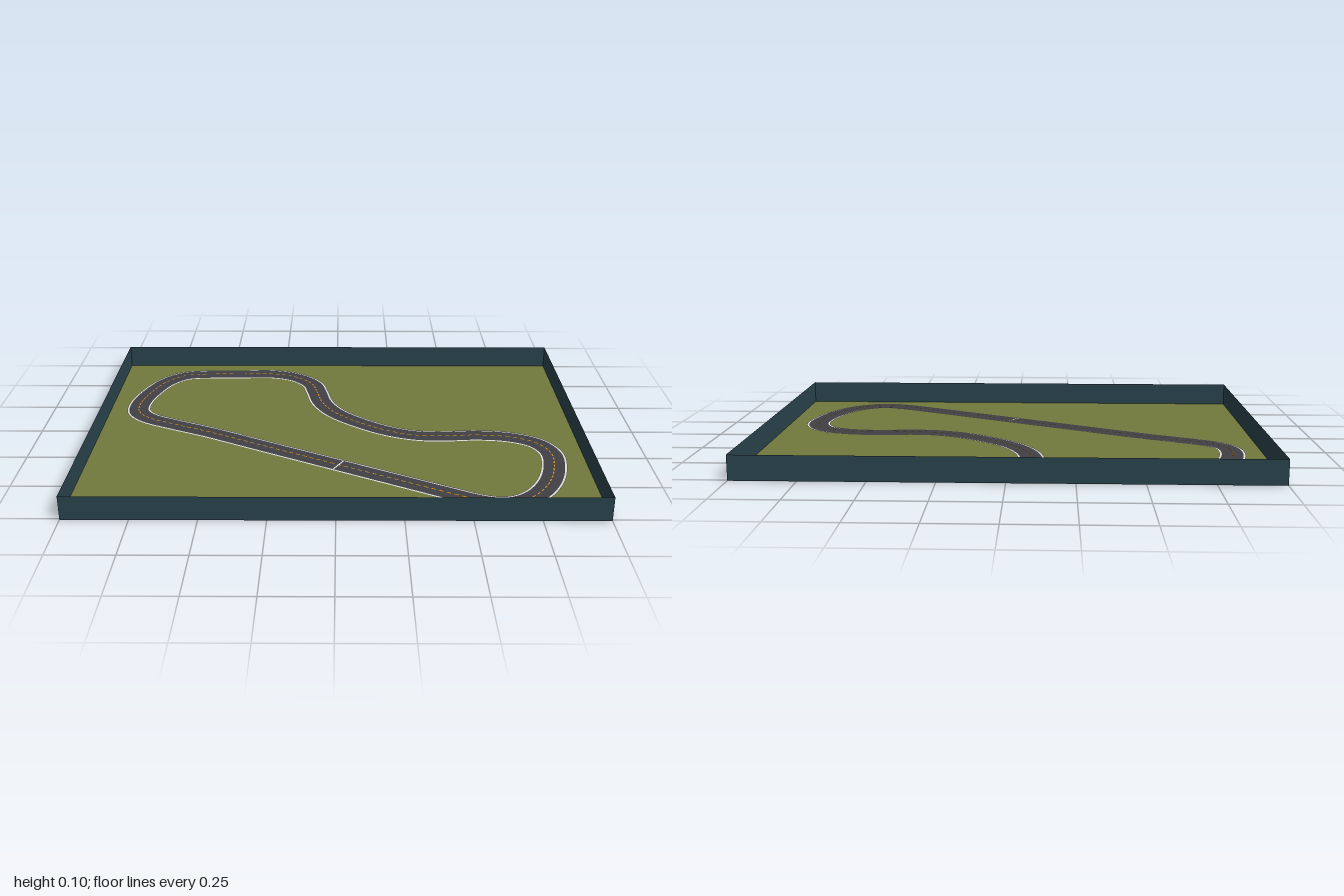
import * as THREE from 'three';

const W = 2, D = 1.516, H = 0.096;

const paint = (name, color, side = THREE.FrontSide) => {
  const m = new THREE.MeshStandardMaterial({ color, side });
  m.name = name;
  return m;
};

// Centre line of the circuit as [x, z] pairs
const PATH = [
  [-0.61, -0.632], [-0.45, -0.634], [-0.31, -0.637], [-0.195, -0.597], [-0.118, -0.515],
  [-0.092, -0.42], [-0.066, -0.3], [-0.01, -0.19], [0.088, -0.09], [0.215, 0],
  [0.32, 0.042], [0.42, 0.054], [0.594, 0.043], [0.727, 0.062], [0.824, 0.115],
  [0.87, 0.205], [0.866, 0.323], [0.824, 0.465], [0.754, 0.572], [0.68, 0.622],
  [0.615, 0.632], [0.54, 0.613], [0.433, 0.558], [0.22, 0.44], [0.01, 0.323],
  [-0.27, 0.167], [-0.556, 0.008], [-0.69, -0.057], [-0.82, -0.13], [-0.87, -0.195],
  [-0.877, -0.29], [-0.85, -0.41], [-0.797, -0.535], [-0.72, -0.612],
];

export function createModel() {
  const model = new THREE.Group();
  model.name = 'raceTrackTray';

  const grass = paint('grass', 0x717a3d, THREE.DoubleSide);
  const wallPaint = paint('wallBlue', 0x2a444d, THREE.DoubleSide);
  const asphalt = paint('asphalt', 0x414045);
  const white = paint('lineWhite', 0xdcdcd8);
  const orange = paint('lineOrange', 0xd08a1c);

  const curve = new THREE.CatmullRomCurve3(
    PATH.map(([x, z]) => new THREE.Vector3(x, 0, z)), true, 'centripetal');
  curve.arcLengthDivisions = 1000;

  const add = (name, geometry, material) => {
    const mesh = new THREE.Mesh(geometry, material);
    mesh.name = name;
    model.add(mesh);
    return mesh;
  };

  // Flat strips following the circuit between two sideways offsets;
  // spans are [start, end] fractions of the lap
  const ribbon = (inner, outer, y, spans, steps) => {
    const pos = [], index = [];
    for (const [u0, u1] of spans) {
      for (let i = 0; i <= steps; i++) {
        const u = (u0 + (u1 - u0) * i / steps) % 1;
        const p = curve.getPointAt(u), t = curve.getTangentAt(u);
        const k = pos.length / 3;
        for (const o of [inner, outer]) pos.push(p.x - t.z * o, y, p.z + t.x * o);
        if (i < steps) index.push(k, k + 1, k + 2, k + 2, k + 1, k + 3);
      }
    }
    const g = new THREE.BufferGeometry();
    g.setAttribute('position', new THREE.Float32BufferAttribute(pos, 3));
    g.setIndex(index);
    g.computeVertexNormals();
    return g;
  };

  // Grass floor
  add('ground', new THREE.PlaneGeometry(W, D).rotateX(-Math.PI / 2), grass);

  // Thin walls around the floor
  for (const s of [1, -1]) {
    const turn = s > 0 ? 0 : Math.PI;
    add(s > 0 ? 'frontWall' : 'backWall',
      new THREE.PlaneGeometry(W, H).rotateY(turn).translate(0, H / 2, s * D / 2), wallPaint);
    add(s > 0 ? 'leftWall' : 'rightWall',
      new THREE.PlaneGeometry(D, H).rotateY(turn + Math.PI / 2).translate(s * W / 2, H / 2, 0), wallPaint);
  }

  // Road surface and its white borders
  const lap = [[0, 1]];
  add('road', ribbon(-0.042, 0.042, 0.004, lap, 300), asphalt);
  add('outerBorder', ribbon(-0.051, -0.042, 0.004, lap, 300), white);
  add('innerBorder', ribbon(0.042, 0.051, 0.004, lap, 300), white);

  // Dashed centre line
  const dashes = 150;
  const spans = Array.from({ length: dashes }, (_, i) => [i / dashes, (i + 0.6) / dashes]);
  add('centreDashes', ribbon(-0.0025, 0.0025, 0.006, spans, 2), orange);

  // Start line across the straight
  const startLine = add('startLine',
    new THREE.PlaneGeometry(0.01, 0.09).rotateX(-Math.PI / 2), white);
  startLine.position.set(0.01, 0.007, 0.323);
  startLine.rotation.y = -Math.atan(0.557);

  return model;
}
